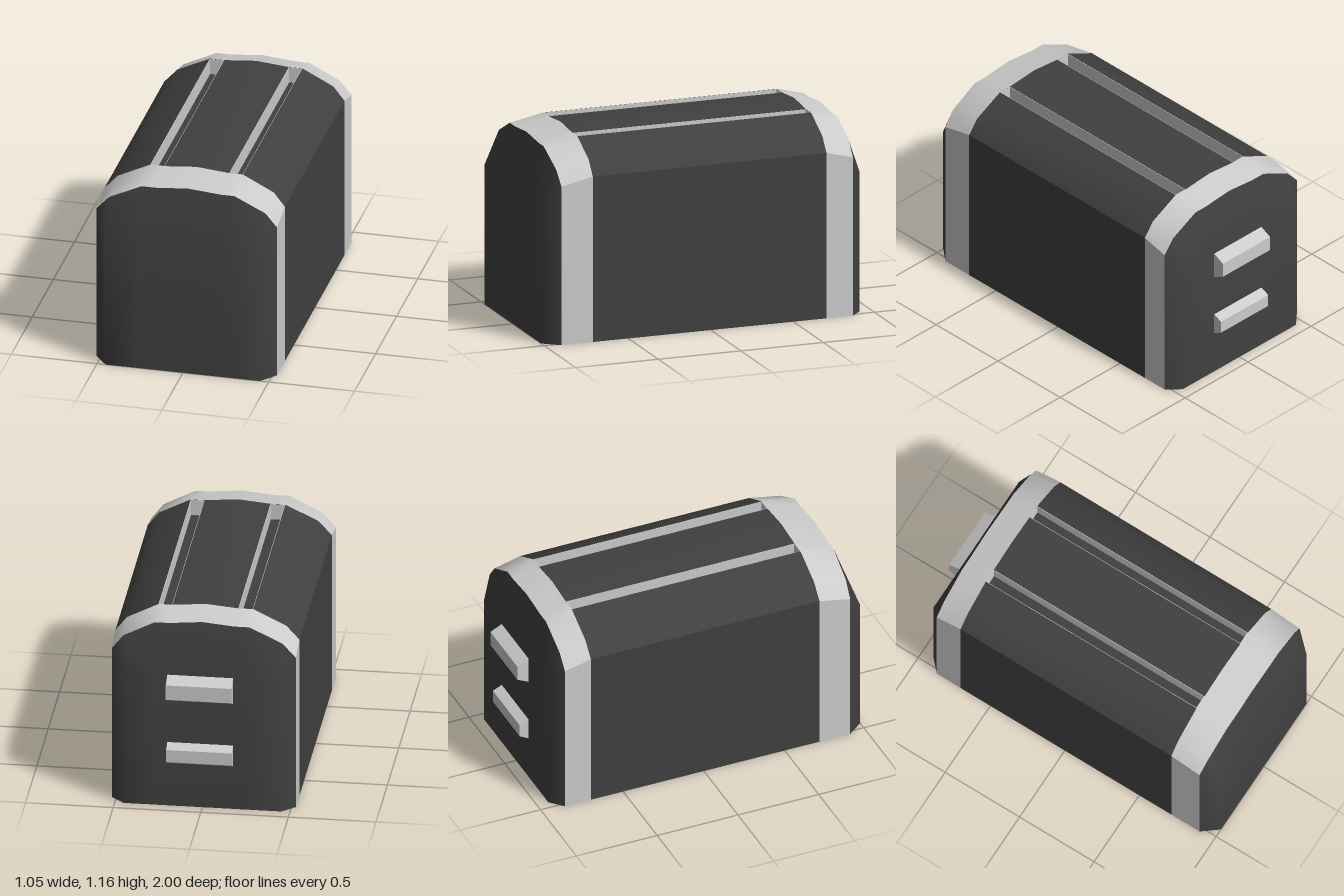
import * as THREE from 'three';
import { toCreasedNormals } from 'three/addons/utils/BufferGeometryUtils.js';

const DARK = new THREE.MeshStandardMaterial({ color: 0x404040, side: THREE.DoubleSide });
const LIGHT = new THREE.MeshStandardMaterial({ color: 0xcccccc, side: THREE.DoubleSide });

// Arched cross-section, from the foot of one side over the top to the other
const ARCH = [[-0.525, 0], [-0.525, 0.97], [-0.45, 1.053], [-0.26, 1.145], [-0.175, 1.145],
  [0.01, 1.162], [0.2, 1.145], [0.28, 1.145], [0.46, 1.053], [0.525, 0.97], [0.525, 0]];
const GROOVES = [[-0.26, -0.175], [0.2, 0.28]];
const GROOVE_FLOOR = 1.05;
const Z_BACK = -0.7, Z_FRONT = 0.715;

function addMesh(parent, name, geometry, material) {
  const mesh = new THREE.Mesh(geometry, material);
  mesh.name = name;
  parent.add(mesh);
  return mesh;
}

// Skins a list of equal-length point rows; flip reverses the facing
function loft(rows, flip, crease) {
  const n = rows[0].length, index = [];
  for (let i = 0; i < rows.length - 1; i++) {
    for (let j = 0; j < n - 1; j++) {
      const a = i * n + j, b = a + 1, c = a + n, d = c + 1;
      if (flip) index.push(a, b, c, b, d, c);
      else index.push(a, c, b, b, c, d);
    }
  }
  const geometry = new THREE.BufferGeometry();
  geometry.setAttribute('position', new THREE.Float32BufferAttribute(rows.flat(2), 3));
  geometry.setIndex(index);
  return toCreasedNormals(geometry, crease);
}

// Main hull with two grooves cut along the roof
function buildBody(group) {
  const shape = new THREE.Shape();
  ARCH.forEach(([x, y], i) => {
    if (i === 0) shape.moveTo(x, y);
    else shape.lineTo(x, y);
    const groove = GROOVES.find((g) => g[0] === x);
    if (groove) {
      shape.lineTo(groove[0], GROOVE_FLOOR);
      shape.lineTo(groove[1], GROOVE_FLOOR);
    }
  });
  const geometry = new THREE.ExtrudeGeometry(shape, { depth: Z_FRONT - Z_BACK, bevelEnabled: false });
  geometry.translate(0, 0, Z_BACK);
  addMesh(group, 'body', toCreasedNormals(geometry, 0.6), DARK);

  // Pale linings on the groove walls
  const t = 0.003, h = 1.144 - GROOVE_FLOOR, y = GROOVE_FLOOR + h / 2;
  for (const [x0, x1] of GROOVES) {
    const lining = new THREE.Group();
    lining.name = 'grooveLining';
    group.add(lining);
    for (const x of [x0 + t / 2, x1 - t / 2]) {
      addMesh(lining, 'grooveSide', new THREE.BoxGeometry(t, h, Z_FRONT - Z_BACK), LIGHT)
        .position.set(x, y, (Z_FRONT + Z_BACK) / 2);
    }
    for (const z of [Z_BACK + t / 2, Z_FRONT - t / 2]) {
      addMesh(lining, 'grooveEnd', new THREE.BoxGeometry(x1 - x0, h, t), LIGHT)
        .position.set((x0 + x1) / 2, y, z);
    }
  }
}

// Pale band, dark bevelled end face and pale underside at one end
function buildEnd(group, name, z0, z1, z2, lean) {
  const flip = z2 < 0;
  const clampX = (x) => THREE.MathUtils.clamp(x, -0.45, 0.45);
  const inner = ARCH.map(([x, y]) => [x, y, z0]);
  const outer = ARCH.map(([x, y]) =>
    [x, Math.max(0, y - 0.04), z1 + lean * Math.max(0, (y - 0.97) / 0.19)]);
  const rim = ARCH.map(([x, y]) => [clampX(x), Math.min(y, 0.815), z2]);
  const foot = ARCH.map(([x]) => [clampX(x), 0, z2]);
  addMesh(group, name + 'Band', loft([inner, outer], flip, 0.6), LIGHT);
  addMesh(group, name + 'Face', loft([outer, rim, foot], flip, 1.0), DARK);
  const base = [[0.525, z0], [0.525, z1], [0.45, z2]].map(([x, z]) => [[x, 0, z], [-x, 0, z]]);
  addMesh(group, name + 'Underside', loft(base, flip, 0.5), LIGHT);
}

// Tapered grab bar on the back face
function buildHandle(group, name, baseLow, baseHigh, tipLow, tipHigh, tipZ) {
  const shape = new THREE.Shape([[-0.92, baseLow], [-0.93, baseLow], [tipZ, tipLow],
    [tipZ, tipHigh], [-0.93, baseHigh], [-0.92, baseHigh]].map((p) => new THREE.Vector2(...p)));
  const geometry = new THREE.ExtrudeGeometry(shape, { depth: 0.375, bevelEnabled: false });
  geometry.rotateY(-Math.PI / 2).translate(0.2, 0, 0);
  addMesh(group, name, geometry, LIGHT);
}

export function createModel() {
  const group = new THREE.Group();
  group.name = 'archedTrunk';
  buildBody(group);
  buildEnd(group, 'front', Z_FRONT, 0.905, 1, 0.015);
  buildEnd(group, 'back', Z_BACK, -0.86, -0.93, 0);
  buildHandle(group, 'upperHandle', 0.655, 0.815, 0.69, 0.78, -1);
  buildHandle(group, 'lowerHandle', 0.265, 0.395, 0.295, 0.37, -0.985);
  return group;
}
